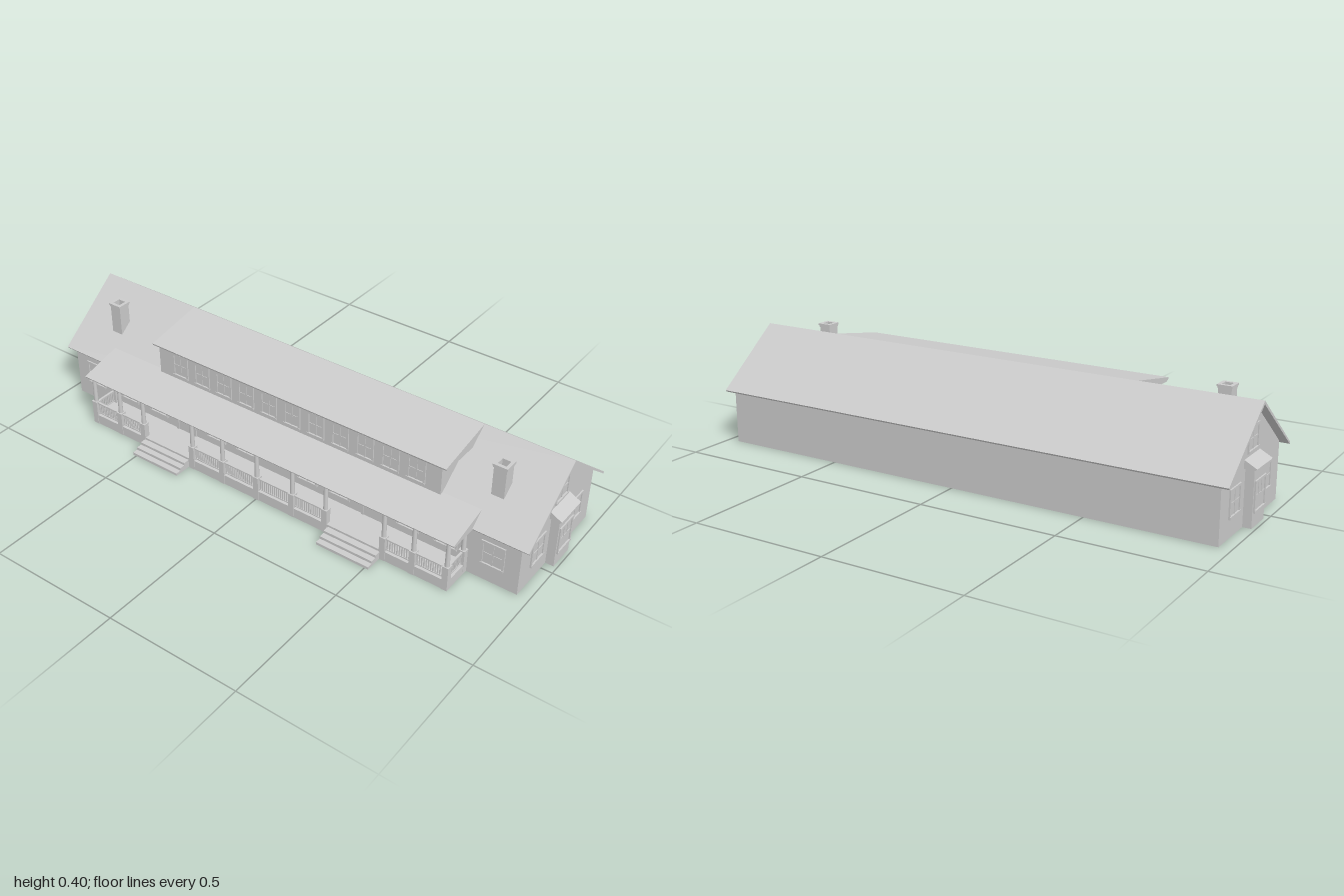
import * as THREE from 'three';
import { mergeGeometries } from 'three/addons/utils/BufferGeometryUtils.js';

const material = new THREE.MeshStandardMaterial({ color: 0xcccccc, side: THREE.DoubleSide });

// box given by its limits
function box(x0, x1, y0, y1, z0, z1) {
  const g = new THREE.BoxGeometry(x1 - x0, y1 - y0, z1 - z0);
  return g.translate((x0 + x1) / 2, (y0 + y1) / 2, (z0 + z1) / 2);
}

function shapeOf(points) {
  return new THREE.Shape(points.map(p => new THREE.Vector2(p[0], p[1])));
}

// a [z, y] outline swept along x from x0 to x1
function prism(points, x0, x1) {
  const g = new THREE.ExtrudeGeometry(shapeOf(points), { depth: x1 - x0, bevelEnabled: false });
  return g.rotateY(-Math.PI / 2).translate(x1, 0, 0);
}

// square tube standing upright, open through the middle
function squareTube(half, hole, y0, y1) {
  const square = r => [[-r, -r], [r, -r], [r, r], [-r, r]];
  const s = shapeOf(square(half));
  s.holes.push(shapeOf(square(hole)));
  const g = new THREE.ExtrudeGeometry(s, { depth: y1 - y0, bevelEnabled: false });
  return g.rotateX(-Math.PI / 2).translate(0, y0, 0);
}

// framed window facing +z, centred on the origin
function windowParts(w, h, cols = 2, transom = 0) {
  const t = 0.008, x = w / 2, y = h / 2, m = 0.0025;
  const parts = [
    box(-x, x, y - t, y, -0.008, 0.005),
    box(-x, x, -y, -y + t, -0.008, 0.007),
    box(-x, -x + t, -y + t, y - t, -0.008, 0.005),
    box(x - t, x, -y + t, y - t, -0.008, 0.005),
    box(-x + t, x - t, -y + t, y - t, -0.007, 0.001),
    box(-x + t, x - t, transom - m, transom + m, -0.008, 0.003)
  ];
  for (let i = 1; i < cols; i++) {
    const c = -x + t + (w - 2 * t) * i / cols;
    parts.push(box(c - m, c + m, cols > 2 ? transom : -y + t, y - t, -0.008, 0.003));
  }
  return parts;
}

function place(parts, x, y, z, turn = 0) {
  return parts.map(g => g.rotateY(turn).translate(x, y, z));
}

export function createModel() {
  const model = new THREE.Group();
  const add = (name, parts) => {
    const list = parts.map(g => (g.index ? g.toNonIndexed() : g));
    const mesh = new THREE.Mesh(mergeGeometries(list), material);
    mesh.name = name;
    model.add(mesh);
  };

  const wallX = 0.957, front = 0.157, back = -0.322, eave = 0.192, ridgeZ = -0.083;

  // main walls, open underneath, with a ceiling at the eaves
  const gable = [[front, 0], [front, eave], [front, 0.2], [ridgeZ, 0.391], [back, 0.2], [back, 0]];
  add('mainWalls', [
    box(-wallX, wallX, 0, eave, front - 0.005, front),
    box(-wallX, wallX, 0, eave, back, back + 0.005),
    prism(gable, wallX - 0.005, wallX),
    prism(gable, -wallX, -wallX + 0.005)
  ]);
  add('ceiling', [box(-wallX, wallX, eave - 0.004, eave, back, front)]);

  // main gable roof
  add('mainRoof', [prism([
    [0.174, 0.197], [ridgeZ, 0.4], [-0.34, 0.197], [-0.336, 0.191], [ridgeZ, 0.388], [0.17, 0.191]
  ], -0.988, 0.988)]);

  // long dormer with a row of eleven windows
  add('dormerWalls', [prism([[0.132, 0.205], [0.132, 0.35], [-0.02, 0.35]], -0.547, 0.642)]);
  add('dormerRoof', [prism([
    [0.148, 0.358], [ridgeZ, 0.4], [-0.06, 0.378], [-0.02, 0.346], [0.134, 0.346], [0.146, 0.352]
  ], -0.564, 0.664)]);
  const dormerWindows = [];
  for (let i = 0; i < 11; i++) {
    dormerWindows.push(...place(windowParts(0.07, 0.094), -0.448 + i * 0.0997, 0.297, 0.132));
  }
  add('dormerWindows', dormerWindows);

  // windows along the front wall
  const frontWindows = [];
  for (const x of [0.135, 0.27, 0.545, 0.69, 0.86]) {
    for (const s of [-1, 1]) frontWindows.push(...place(windowParts(0.086, 0.096), s * x, 0.112, front));
  }
  add('frontWindows', frontWindows);

  // entrance doors
  const doors = [];
  for (const x of [-0.413, 0.407]) {
    doors.push(
      box(x - 0.046, x - 0.036, 0.038, 0.17, front - 0.008, front + 0.005),
      box(x + 0.036, x + 0.046, 0.038, 0.17, front - 0.008, front + 0.005),
      box(x - 0.036, x + 0.036, 0.16, 0.17, front - 0.008, front + 0.005),
      box(x - 0.036, x + 0.036, 0.038, 0.16, front - 0.007, front + 0.002)
    );
  }
  add('doors', doors);

  // both gable ends: windows and a projecting bay with its own shed roof
  for (const s of [-1, 1]) {
    const side = s > 0 ? 'left' : 'right';
    const turn = s * Math.PI / 2;
    add(side + 'EndWindows', [
      ...place(windowParts(0.086, 0.096), s * wallX, 0.112, 0.045, turn),
      ...place(windowParts(0.086, 0.096), s * wallX, 0.112, -0.212, turn),
      ...place(windowParts(0.086, 0.086), s * wallX, 0.278, ridgeZ, turn)
    ]);
    const b0 = s * wallX, b1 = s * 0.987;
    add(side + 'Bay', [box(Math.min(b0, b1), Math.max(b0, b1), 0, 0.197, -0.134, -0.031)]);
    add(side + 'BayWindow', place(windowParts(0.09, 0.106, 3, 0.001), b1, 0.102, ridgeZ, turn));
    const shed = shapeOf([[s * 0.95, 0.195], [s * 0.995, 0.195], [s, 0.2], [s * 0.957, 0.223], [s * 0.95, 0.223]]);
    const roof = new THREE.ExtrudeGeometry(shed, { depth: 0.13, bevelEnabled: false });
    add(side + 'BayRoof', [roof.translate(0, 0, -0.147)]);
  }

  // chimneys with a flared two-tier cap
  for (const s of [-1, 1]) {
    add(s > 0 ? 'leftChimney' : 'rightChimney', place([
      squareTube(0.023, 0.015, 0.22, 0.383),
      squareTube(0.025, 0.015, 0.383, 0.389),
      squareTube(0.027, 0.015, 0.389, 0.396)
    ], s * 0.813, 0, 0.052));
  }

  // porch deck and roof
  add('porchDeck', [box(-0.77, 0.77, 0, 0.038, front, 0.275)]);
  add('porchRoof', [prism([
    [0.284, 0.2], [0.12, 0.24], [0.12, 0.23], [0.157, 0.192], [0.272, 0.192], [0.282, 0.196]
  ], -0.787, 0.787)]);

  // front steps
  const steps = [];
  for (const x of [-0.41, 0.41]) {
    for (let i = 0; i < 3; i++) {
      steps.push(box(x - 0.104, x + 0.104, 0, 0.03 - i * 0.01, 0.27, 0.299 + i * 0.0215));
    }
  }
  add('frontSteps', steps);

  // piers carrying round columns
  const half = [0, 0.152, 0.29, 0.522, 0.636, 0.76];
  const piers = [], columns = [];
  const post = (x, z) => {
    piers.push(box(x - 0.011, x + 0.011, 0, 0.093, z - 0.011, z + 0.011));
    piers.push(box(x - 0.012, x + 0.012, 0.091, 0.095, z - 0.012, z + 0.012));
    columns.push(new THREE.CylinderGeometry(0.007, 0.0085, 0.098, 16).translate(x, 0.143, z));
  };
  const xs = [...half.slice(1).map(x => -x).reverse(), ...half];
  xs.forEach(x => post(x, 0.266));
  post(-0.76, 0.167);
  post(0.76, 0.167);
  add('porchPiers', piers);
  add('porchColumns', columns);

  // balustrades between piers, leaving gaps at the steps
  const rails = [];
  const balustrade = length => {
    const h = length / 2, n = Math.round(length / 0.0088);
    const parts = [
      box(-h, h, 0.085, 0.09, -0.004, 0.004),
      box(-h, h, 0.043, 0.047, -0.003, 0.003)
    ];
    for (let i = 0; i < n; i++) {
      const x = -h + (i + 0.5) * length / n;
      parts.push(box(x - 0.002, x + 0.002, 0.047, 0.085, -0.002, 0.002));
    }
    return parts;
  };
  for (let i = 0; i + 1 < xs.length; i++) {
    const gap = xs[i + 1] - xs[i];
    if (gap < 0.2) rails.push(...place(balustrade(gap - 0.022), (xs[i] + xs[i + 1]) / 2, 0, 0.266));
  }
  for (const s of [-1, 1]) rails.push(...place(balustrade(0.077), s * 0.76, 0, 0.2165, Math.PI / 2));
  add('porchBalustrade', rails);

  return model;
}
